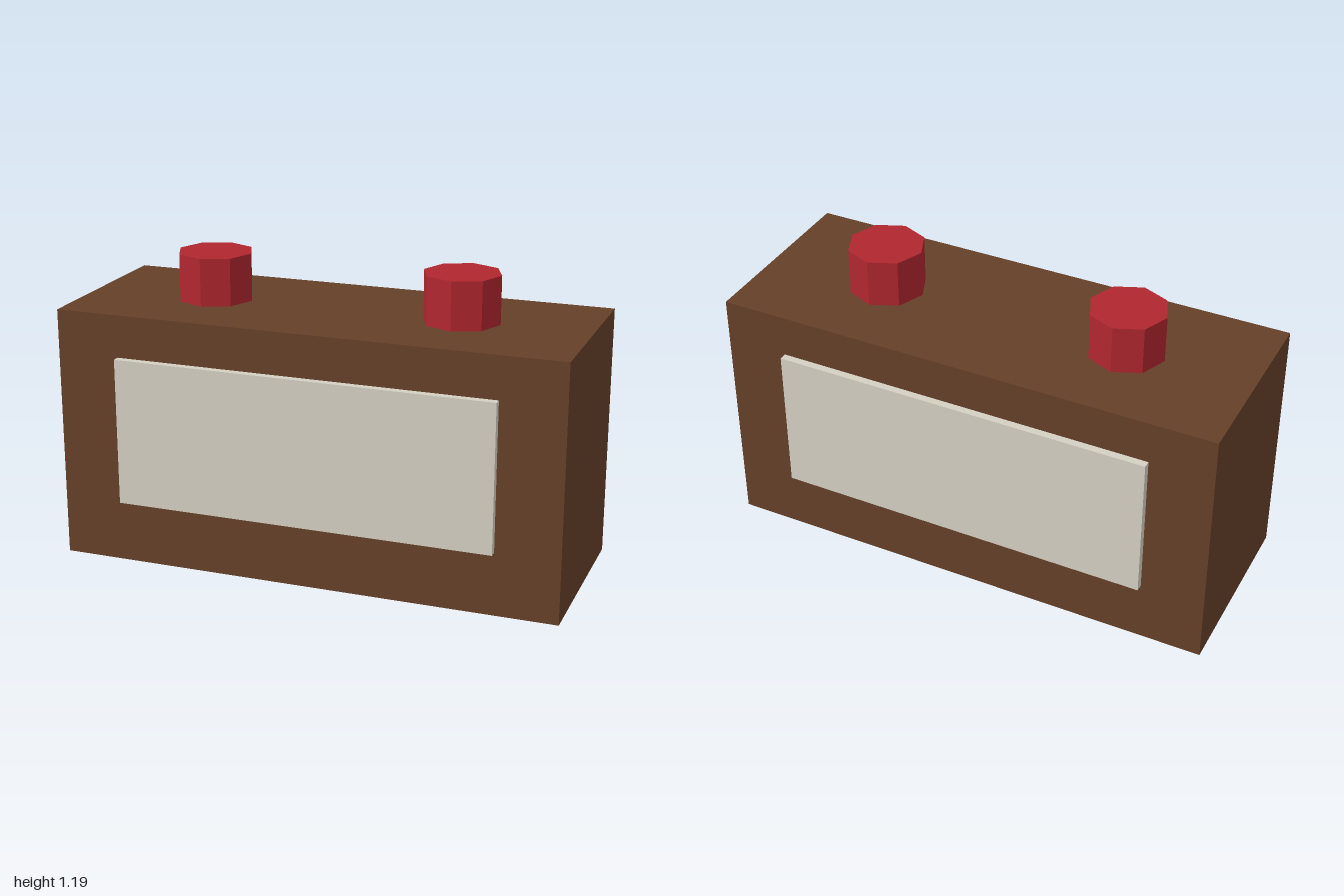
import * as THREE from 'three';

const mat = (color) => new THREE.MeshStandardMaterial({ color, flatShading: true });

export function createModel() {
  const model = new THREE.Group();
  const brown = mat(0x654028), cream = mat(0xd4cfc2), red = mat(0xb0272f);

  const add = (name, geometry, material, x, y, z) => {
    const mesh = new THREE.Mesh(geometry, material);
    mesh.name = name;
    mesh.position.set(x, y, z);
    model.add(mesh);
  };

  // Main case
  add('case', new THREE.BoxGeometry(2, 1, 0.75), brown, 0, 0.5, 0);

  // Raised panels on the front and back
  const panel = new THREE.BoxGeometry(1.5, 0.583, 0.03);
  add('frontPanel', panel, cream, 0, 0.5415, 0.39);
  add('backPanel', panel, cream, 0, 0.5415, -0.39);

  // Octagonal knobs on top
  const knob = new THREE.CylinderGeometry(0.15, 0.15, 0.188, 8);
  add('leftKnob', knob, red, 0.5, 1.094, 0);
  add('rightKnob', knob, red, -0.5, 1.094, 0);

  return model;
}
